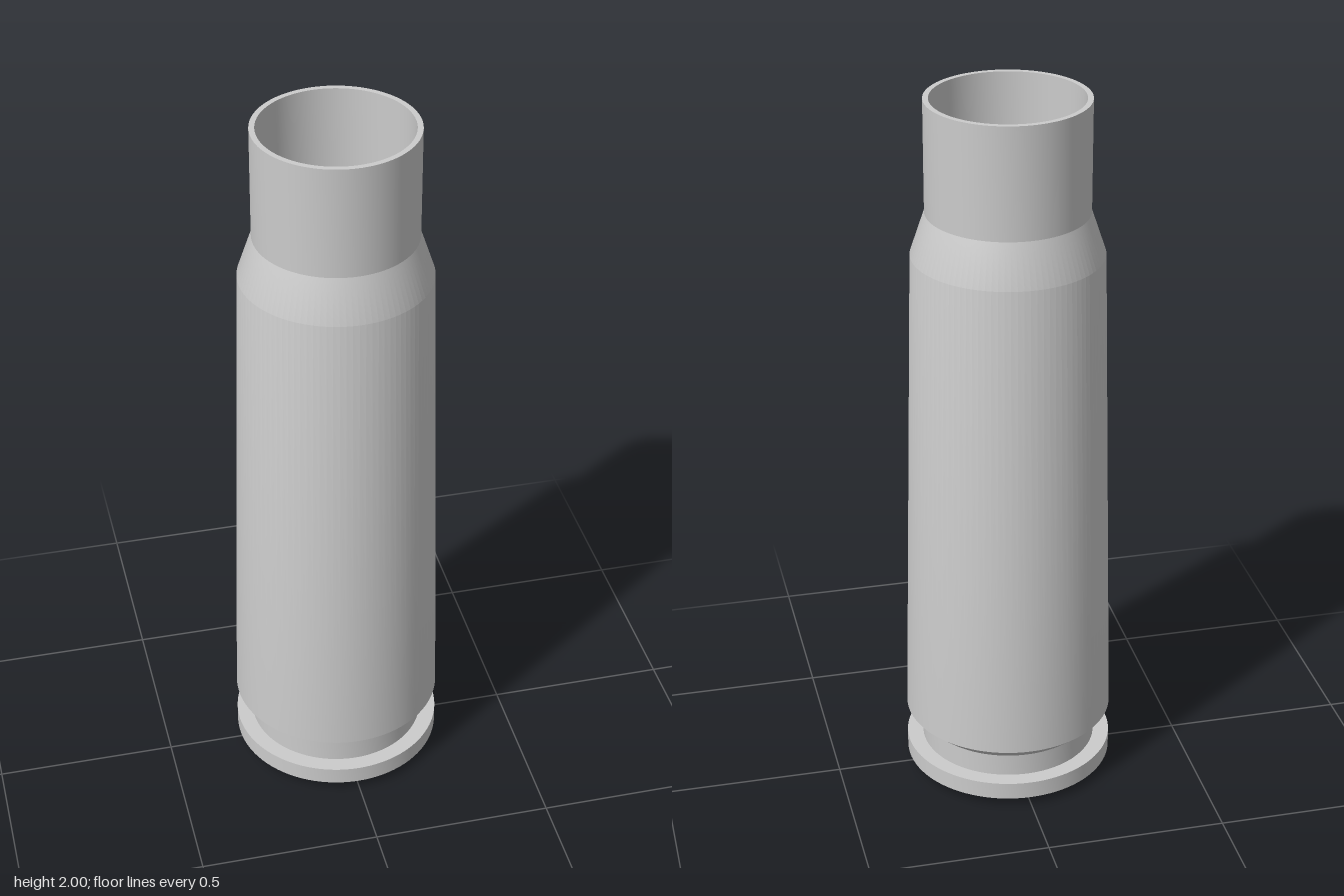
import * as THREE from 'three';
import { toCreasedNormals } from 'three/addons/utils/BufferGeometryUtils.js';

const SEGMENTS = 96;

// Turns a [radius, height] profile around the y axis, keeping hard edges sharp.
function turned(name, profile, material) {
  const points = profile.map(([r, y]) => new THREE.Vector2(r, y));
  const geometry = toCreasedNormals(new THREE.LatheGeometry(points, SEGMENTS), 0.3);
  const mesh = new THREE.Mesh(geometry, material);
  mesh.name = name;
  return mesh;
}

export function createModel() {
  const group = new THREE.Group();
  group.name = 'cartridgeCase';
  const metal = new THREE.MeshStandardMaterial({ color: 0xcccccc });
  const thinMetal = new THREE.MeshStandardMaterial({ color: 0xcccccc, side: THREE.DoubleSide });

  // Hollow case: up the outside, over the mouth, down the inside, through the primer pocket
  group.add(turned('caseBody', [
    [0.138, 0], [0.255, 0],                 // base
    [0.292, 0.025], [0.292, 0.075],         // chamfered rim
    [0.247, 0.075], [0.247, 0.14],          // extractor groove
    [0.292, 0.18], [0.26, 1.57],            // tapered body
    [0.22, 1.69], [0.22, 2],                // shoulder and neck
    [0.205, 2], [0.205, 1.69],              // mouth and inner neck
    [0.245, 1.57], [0.275, 0.2],            // inner body
    [0.138, 0.2], [0.138, 0],               // floor and primer pocket
  ], metal));

  // Primer cup: flat bottom with a rounded edge, open towards the inside
  const r = 0.137, fillet = 0.025, cup = [[0, 0.002]];
  for (let i = 0; i <= 8; i++) {
    const a = (i / 8) * Math.PI / 2;
    cup.push([r - fillet + fillet * Math.sin(a), 0.002 + fillet * (1 - Math.cos(a))]);
  }
  cup.push([r, 0.12]);
  group.add(turned('primerCup', cup, thinMetal));

  return group;
}
